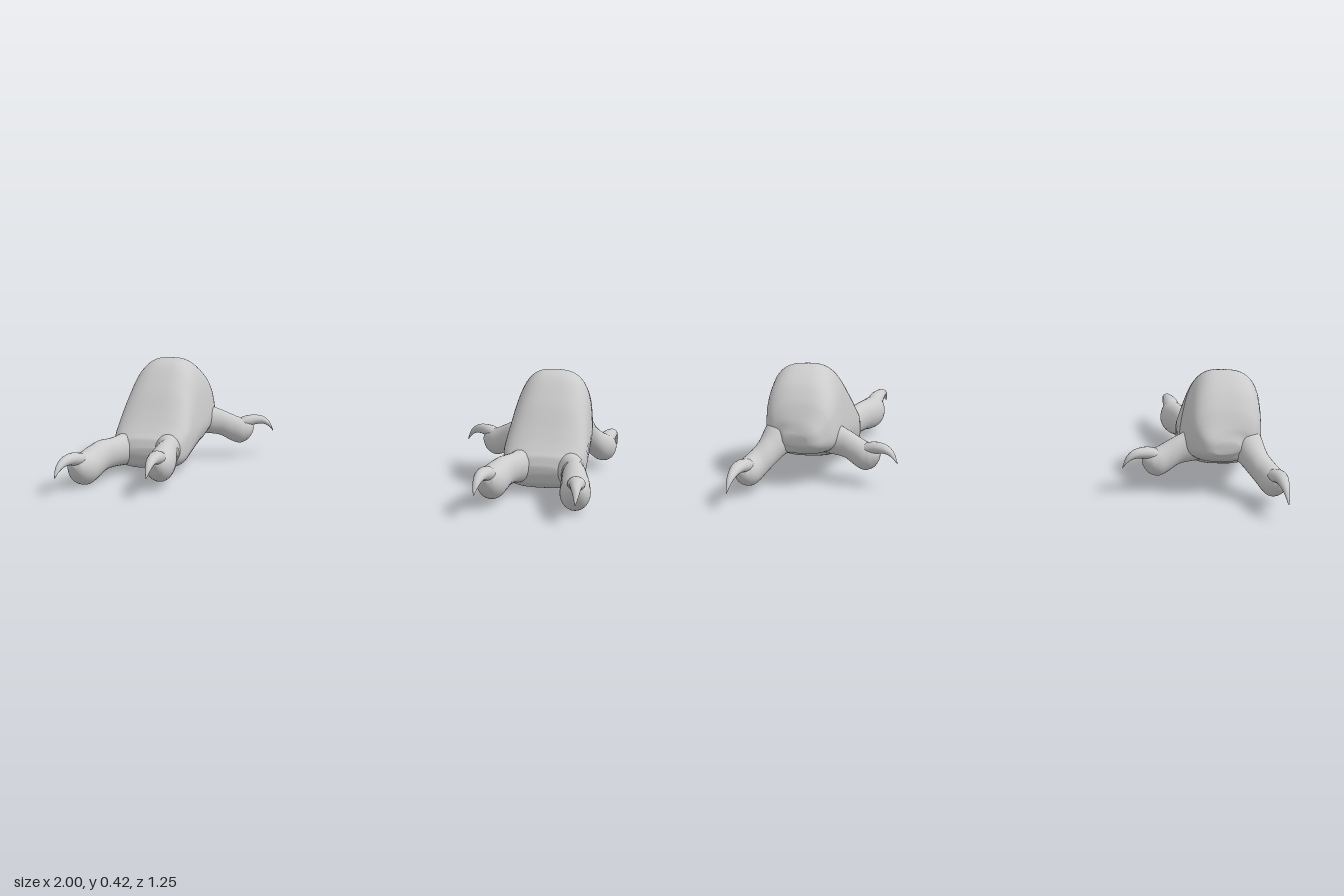
import * as THREE from 'three';

const material = new THREE.MeshStandardMaterial({ color: 0xcccccc, roughness: 0.8 });

// Skin a row of upright rings [x, y, z, halfWidth, halfHeight]; power > 2 squares them off.
function loft(rows, { power = 2, sides = 28, steps = 6, bend } = {}) {
  const path = new THREE.CatmullRomCurve3(rows.map(r => new THREE.Vector3(r[0], r[1], r[2])));
  const size = new THREE.CatmullRomCurve3(rows.map(r => new THREE.Vector3(r[3], r[4], 0)));
  const rings = (rows.length - 1) * steps;
  const positions = [], index = [];
  const round = v => Math.sign(v) * Math.abs(v) ** (2 / power);
  for (let i = 0; i <= rings; i++) {
    const c = path.getPoint(i / rings), s = size.getPoint(i / rings), d = path.getTangent(i / rings);
    const len = Math.hypot(d.x, d.z) || 1;
    const w = Math.max(s.x, 0.001), h = Math.max(s.y, 0.001);
    for (let j = 0; j < sides; j++) {
      const a = (j / sides) * Math.PI * 2;
      const u = round(Math.cos(a)) * w;
      const p = new THREE.Vector3(c.x + (d.z / len) * u, c.y + round(Math.sin(a)) * h, c.z - (d.x / len) * u);
      if (bend) bend(p);
      positions.push(p.x, p.y, p.z);
      if (i < rings) {
        const k = i * sides, n = (j + 1) % sides;
        index.push(k + j, k + n, k + sides + j, k + n, k + sides + n, k + sides + j);
      }
    }
  }
  // End caps
  for (let j = 1; j < sides - 1; j++) {
    const e = rings * sides;
    index.push(0, j + 1, j, e, e + j, e + j + 1);
  }
  const g = new THREE.BufferGeometry();
  g.setAttribute('position', new THREE.Float32BufferAttribute(positions, 3));
  g.setIndex(index);
  g.computeVertexNormals();
  return g;
}

// Mirror across x = 0 and keep the faces pointing outwards.
function mirrored(geometry) {
  const g = geometry.clone().scale(-1, 1, 1);
  const ix = g.index.array;
  for (let i = 0; i < ix.length; i += 3) [ix[i], ix[i + 1]] = [ix[i + 1], ix[i]];
  g.computeVertexNormals();
  return g;
}

// Ankle hump: [z, bottom, top, halfWidth, centreX]
const humpRows = [
  [-0.372, 0.165, 0.205, 0.05, 0.79], [-0.355, 0.14, 0.25, 0.095, 0.785],
  [-0.32, 0.12, 0.315, 0.13, 0.78], [-0.27, 0.105, 0.372, 0.148, 0.776],
  [-0.2, 0.075, 0.415, 0.155, 0.775], [-0.15, 0.06, 0.425, 0.157, 0.775],
  [-0.09, 0.047, 0.405, 0.157, 0.775], [0, 0.025, 0.32, 0.156, 0.775],
  [0.08, 0.013, 0.218, 0.153, 0.775], [0.125, 0.02, 0.168, 0.142, 0.775],
  [0.155, 0.04, 0.14, 0.115, 0.775], [0.17, 0.075, 0.105, 0.06, 0.775],
].map(([z, b, t, w, x]) => [x, (b + t) / 2, z, w, (t - b) / 2]);

// Narrow the hump towards its top, mostly on the inner side.
function taper(p) {
  const k = Math.max(0, (p.y - 0.15) / 0.26);
  if (p.x < 0.775) p.x += (0.775 - p.x) * 0.28 * k;
  else p.x -= (p.x - 0.775) * 0.14 * k;
}

// Toes: flesh ending in a round pad, and a hooked claw growing out of it.
const toes = {
  outerFrontToe: {
    flesh: [
      [0.855, 0.1, 0.04, 0.06, 0.07], [0.875, 0.092, 0.13, 0.052, 0.062], [0.895, 0.091, 0.21, 0.044, 0.057],
      [0.905, 0.091, 0.28, 0.046, 0.06], [0.915, 0.075, 0.345, 0.052, 0.063], [0.921, 0.064, 0.4, 0.054, 0.063],
      [0.927, 0.068, 0.445, 0.045, 0.054], [0.93, 0.078, 0.475, 0.028, 0.033], [0.931, 0.085, 0.488, 0.005, 0.005],
    ],
    claw: [
      [0.923, 0.094, 0.41, 0.03, 0.028], [0.93, 0.108, 0.46, 0.032, 0.027], [0.935, 0.115, 0.51, 0.025, 0.021],
      [0.938, 0.112, 0.555, 0.018, 0.017], [0.942, 0.096, 0.592, 0.011, 0.012], [0.943, 0.068, 0.62, 0.002, 0.003],
    ],
  },
  innerFrontToe: {
    flesh: [
      [0.705, 0.1, 0.04, 0.06, 0.07], [0.69, 0.098, 0.13, 0.052, 0.06], [0.665, 0.1, 0.2, 0.042, 0.055],
      [0.648, 0.099, 0.265, 0.045, 0.058], [0.634, 0.09, 0.33, 0.051, 0.062], [0.626, 0.085, 0.38, 0.053, 0.062],
      [0.619, 0.089, 0.425, 0.044, 0.053], [0.613, 0.097, 0.455, 0.027, 0.033], [0.612, 0.102, 0.468, 0.005, 0.005],
    ],
    claw: [
      [0.622, 0.11, 0.39, 0.03, 0.03], [0.615, 0.124, 0.44, 0.031, 0.028], [0.607, 0.13, 0.49, 0.024, 0.021],
      [0.602, 0.126, 0.535, 0.018, 0.017], [0.598, 0.108, 0.573, 0.011, 0.012], [0.596, 0.08, 0.598, 0.002, 0.003],
    ],
  },
  outerBackToe: {
    flesh: [
      [0.84, 0.2, -0.24, 0.07, 0.085], [0.873, 0.172, -0.31, 0.057, 0.072], [0.903, 0.13, -0.36, 0.047, 0.06],
      [0.934, 0.096, -0.4, 0.045, 0.058], [0.953, 0.084, -0.435, 0.046, 0.054], [0.963, 0.085, -0.465, 0.037, 0.042],
      [0.967, 0.09, -0.485, 0.02, 0.022], [0.968, 0.094, -0.492, 0.004, 0.004],
    ],
    claw: [
      [0.947, 0.105, -0.42, 0.03, 0.025], [0.961, 0.116, -0.465, 0.031, 0.025], [0.97, 0.123, -0.51, 0.026, 0.021],
      [0.976, 0.12, -0.555, 0.019, 0.017], [0.983, 0.1, -0.598, 0.011, 0.012], [0.988, 0.066, -0.626, 0.002, 0.003],
    ],
  },
  innerBackToe: {
    flesh: [
      [0.73, 0.18, -0.235, 0.065, 0.075], [0.66, 0.162, -0.258, 0.05, 0.06], [0.61, 0.146, -0.277, 0.041, 0.054],
      [0.57, 0.124, -0.294, 0.042, 0.056], [0.54, 0.112, -0.307, 0.045, 0.054], [0.51, 0.113, -0.32, 0.037, 0.042],
      [0.492, 0.119, -0.328, 0.02, 0.022], [0.485, 0.122, -0.331, 0.004, 0.004],
    ],
    claw: [
      [0.552, 0.132, -0.302, 0.03, 0.025], [0.513, 0.147, -0.32, 0.029, 0.024], [0.48, 0.153, -0.339, 0.024, 0.02],
      [0.452, 0.15, -0.353, 0.018, 0.016], [0.429, 0.134, -0.363, 0.011, 0.012], [0.413, 0.105, -0.37, 0.002, 0.003],
    ],
  },
};

export function createModel() {
  const model = new THREE.Group();
  model.name = 'clawedFeet';

  const parts = [['ankle', loft(humpRows, { power: 3, sides: 48, bend: taper })]];
  for (const [name, toe] of Object.entries(toes)) {
    parts.push([name, loft(toe.flesh)]);
    parts.push([name + 'Claw', loft(toe.claw, { sides: 16 })]);
  }

  for (const side of ['left', 'right']) {
    const foot = new THREE.Group();
    foot.name = side + 'Foot';
    for (const [name, geometry] of parts) {
      const mesh = new THREE.Mesh(side === 'left' ? geometry : mirrored(geometry), material);
      mesh.name = name;
      foot.add(mesh);
    }
    model.add(foot);
  }
  return model;
}
